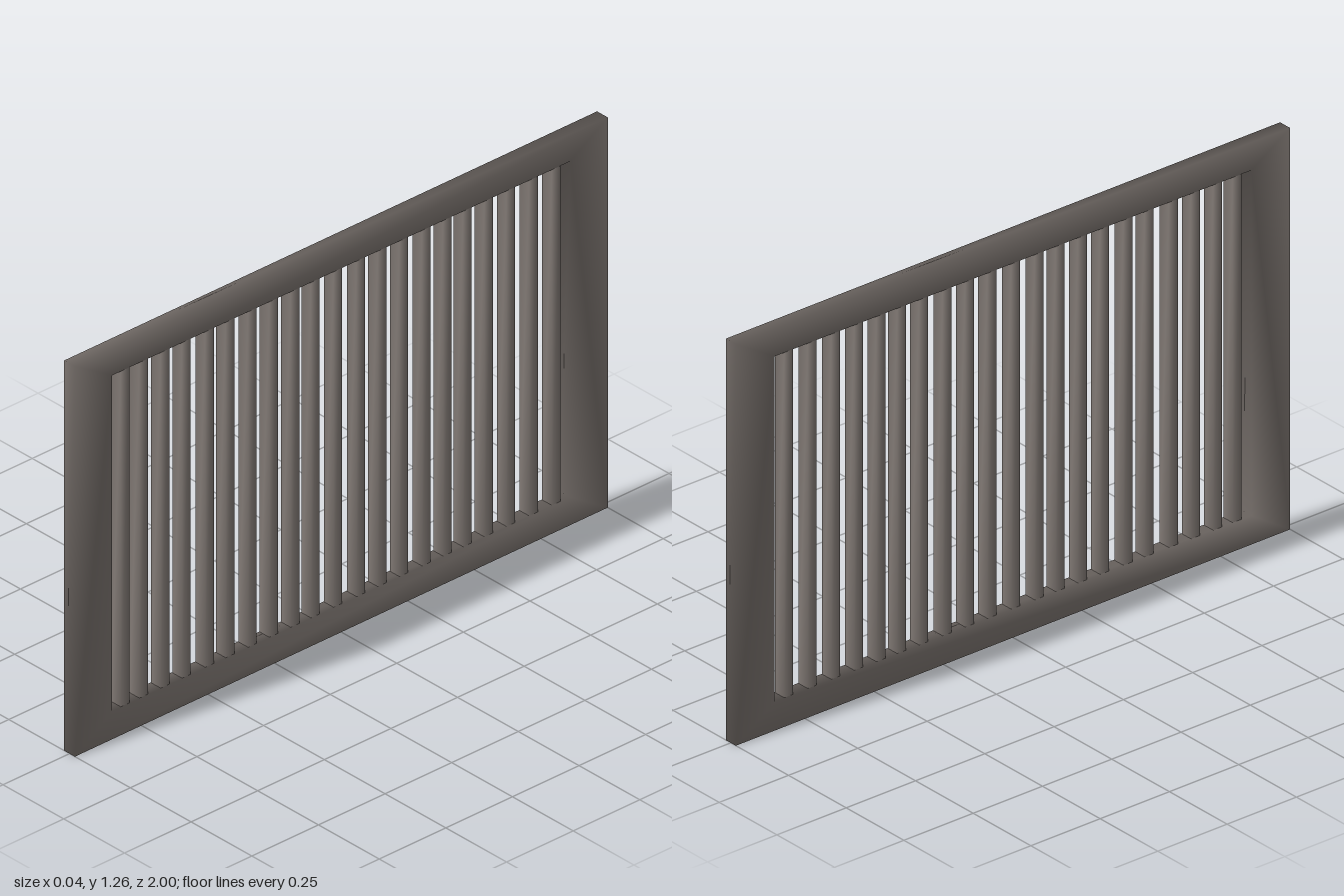
import * as THREE from 'three';
import { mergeVertices } from 'three/addons/utils/BufferGeometryUtils.js';

const WIDTH = 2, HEIGHT = 1.26, DEPTH = 0.044;
const OPEN_Z = 0.86, OPEN_BOTTOM = 0.09, OPEN_TOP = 1.175;

// Share corners so that shading flows softly round the edges
function soften(geometry) {
  geometry.deleteAttribute('normal');
  geometry.deleteAttribute('uv');
  const g = mergeVertices(geometry, 1e-4);
  g.clearGroups();
  g.computeVertexNormals();
  return g;
}

function rectangle(path, x0, y0, x1, y1) {
  path.moveTo(x0, y0);
  path.lineTo(x1, y0);
  path.lineTo(x1, y1);
  path.lineTo(x0, y1);
  path.closePath();
  return path;
}

export function createModel() {
  const model = new THREE.Group();
  model.name = 'barredGrille';
  const metal = new THREE.MeshStandardMaterial({ color: 0x857d78 });
  metal.name = 'warmGreyMetal';

  // Frame: a plate with one opening, turned to stand in the y-z plane
  const outline = rectangle(new THREE.Shape(), -WIDTH / 2, 0, WIDTH / 2, HEIGHT);
  outline.holes.push(rectangle(new THREE.Path(), -OPEN_Z, OPEN_BOTTOM, OPEN_Z, OPEN_TOP));
  const plate = new THREE.ExtrudeGeometry(outline, { depth: DEPTH, bevelEnabled: false });
  plate.translate(0, 0, -DEPTH / 2);
  plate.rotateY(Math.PI / 2);
  const frame = new THREE.Mesh(soften(plate), metal);
  frame.name = 'frame';
  model.add(frame);

  // Upright bars, slightly unevenly spaced, with ends set into the frame
  const barZ = [0.81, 0.74, 0.66, 0.58, 0.493, 0.416, 0.332, 0.252, 0.172, 0.096, 0.011,
    -0.075, -0.155, -0.236, -0.321, -0.4, -0.475, -0.555, -0.638, -0.723, -0.808];
  const barHeight = OPEN_TOP - OPEN_BOTTOM + 0.02;
  const barGeometry = soften(new THREE.BoxGeometry(0.04, barHeight, 0.032));
  const bars = new THREE.Group();
  bars.name = 'bars';
  barZ.forEach((z, i) => {
    const bar = new THREE.Mesh(barGeometry, metal);
    bar.name = `bar${i + 1}`;
    bar.position.set(0, (OPEN_TOP + OPEN_BOTTOM) / 2, z);
    bars.add(bar);
  });
  model.add(bars);

  return model;
}
